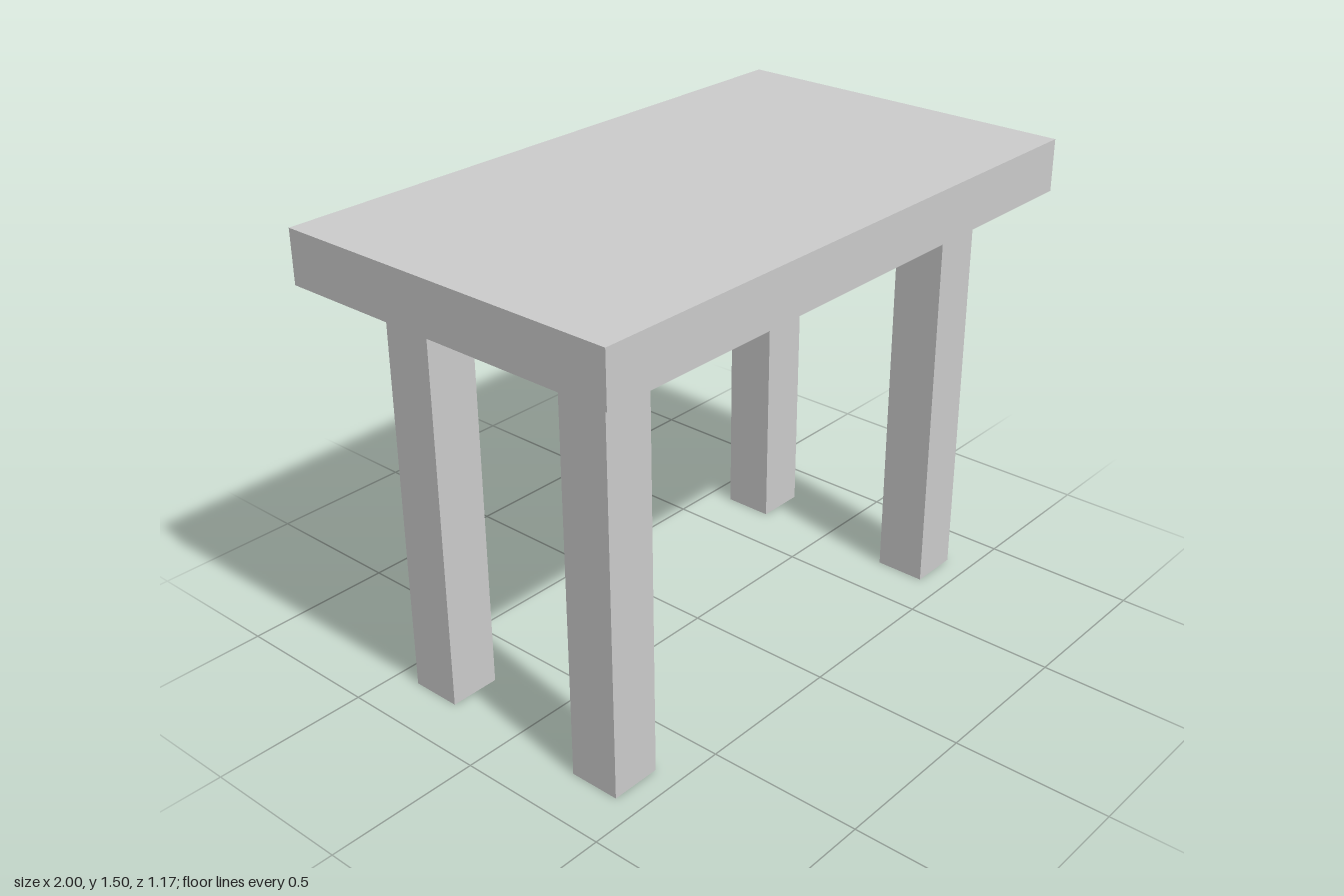
import * as THREE from 'three';

// Every dimension is a multiple of the plank thickness
const U = 1 / 6;

export function createModel() {
  const table = new THREE.Group();
  table.name = 'table';
  const material = new THREE.MeshStandardMaterial({ color: 0xcccccc });

  // Table top slab
  const tableTop = new THREE.Mesh(new THREE.BoxGeometry(12 * U, U, 7 * U), material);
  tableTop.name = 'tableTop';
  tableTop.position.y = 8.5 * U;
  table.add(tableTop);

  // Four square legs, inset from the edges of the top
  const legGeometry = new THREE.BoxGeometry(U, 8 * U, U);
  for (const [side, sx] of [['Left', 1], ['Right', -1]]) {
    for (const [end, sz] of [['front', 1], ['back', -1]]) {
      const leg = new THREE.Mesh(legGeometry, material);
      leg.name = `${end}${side}Leg`;
      leg.position.set(sx * 4.5 * U, 4 * U, sz * 2 * U);
      table.add(leg);
    }
  }

  return table;
}
